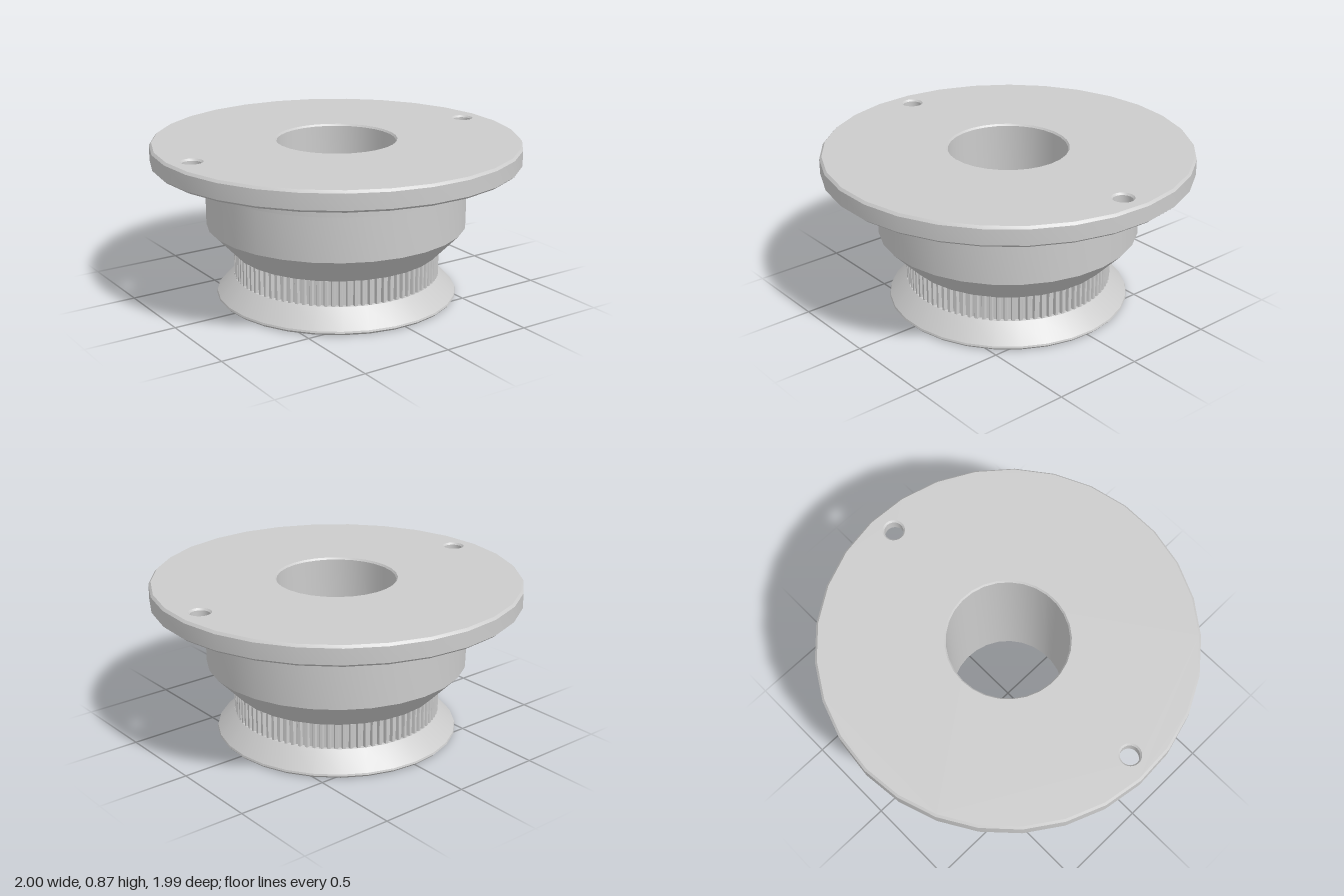
import * as THREE from 'three';
import { toCreasedNormals } from 'three/addons/utils/BufferGeometryUtils.js';

const SEG = 29;
const grey = new THREE.MeshStandardMaterial({ color: 0xcccccc });

function mesh(name, geometry) {
  const m = new THREE.Mesh(geometry, grey);
  m.name = name;
  return m;
}

// Turned surface; profile rows are [radius, y], outside going up, bores going down
function turned(name, profile, seg = SEG) {
  const pts = profile.map(([r, y]) => new THREE.Vector2(r, y));
  return mesh(name, toCreasedNormals(new THREE.LatheGeometry(pts, seg, Math.PI), 0.3));
}

// Polygon matching a turned edge, as [x, z] pairs
function circle(r, cx = 0, seg = SEG) {
  return Array.from({ length: seg }, (_, i) => {
    const t = Math.PI + (i / seg) * Math.PI * 2;
    return [cx + r * Math.sin(t), r * Math.cos(t)];
  });
}

function makeShape(outline, holes, flip) {
  const pts = (list) => list.map(([x, z]) => new THREE.Vector2(x, flip ? -z : z));
  const shape = new THREE.Shape(pts(outline));
  shape.holes = holes.map((h) => new THREE.Path(pts(h)));
  return shape;
}

// Flat horizontal face looking up or down
function face(name, outline, holes, y, up) {
  const g = new THREE.ShapeGeometry(makeShape(outline, holes, up));
  g.rotateX(up ? -Math.PI / 2 : Math.PI / 2).translate(0, y, 0);
  return mesh(name, g);
}

// Upright extrusion from y to y + height
function slab(name, outline, holes, y, height) {
  const g = new THREE.ExtrudeGeometry(makeShape(outline, holes, true), {
    depth: height, bevelEnabled: false,
  });
  g.rotateX(-Math.PI / 2).translate(0, y, 0);
  return mesh(name, g);
}

export function createModel() {
  const model = new THREE.Group();
  model.name = 'flangedPulley';
  const top = 0.87, under = 0.76, holeX = 0.87, holeSeg = 24;

  // Lower flare, belt seat, cone, drum and collar
  model.add(turned('body', [
    [0.652, 0], [0.663, 0.012], [0.66, 0.022], [0.567, 0.12], [0.53, 0.12],
    [0.53, 0.26], [0.567, 0.26], [0.71, 0.41], [0.71, 0.65],
    [0.718, 0.65], [0.718, under],
  ]));

  // Central bore, chamfered at both ends
  model.add(turned('bore', [[0.33, top], [0.322, top - 0.01], [0.322, 0.01], [0.33, 0]]));

  // Belt teeth
  const teeth = 90, pitch = (Math.PI * 2) / teeth, outline = [];
  for (let i = 0; i < teeth; i++) {
    for (const [f, r] of [[0, 0.56], [0.06, 0.565], [0.4, 0.565], [0.46, 0.56], [0.56, 0.546], [0.9, 0.546]]) {
      const t = (i + f) * pitch;
      outline.push([r * Math.sin(t), r * Math.cos(t)]);
    }
  }
  model.add(slab('beltTeeth', outline, [circle(0.52)], 0.12, 0.14));

  // Bottom plate with a shallow rectangular recess
  const recess = [[-0.165, 0.37], [0.165, 0.37], [0.165, 0.57], [-0.165, 0.57]];
  model.add(slab('bottomPlate', circle(0.652), [circle(0.33), recess], 0, 0.01));
  model.add(face('recessFloor', recess, [], 0.01, false));

  // Top flange rim and faces
  const sides = [-1, 1];
  model.add(turned('flangeRim', [
    [0.985, under], [1, under + 0.013], [1, top - 0.013], [0.988, top],
  ]));
  model.add(face('flangeTop', circle(0.988),
    [circle(0.33), ...sides.map((s) => circle(0.06, s * holeX, holeSeg))], top, true));
  model.add(face('flangeUnderside', circle(0.985),
    [circle(0.718), ...sides.map((s) => circle(0.09, s * holeX, holeSeg))], under, false));

  // Screw holes, countersunk from below
  for (const s of sides) {
    const hole = turned(s > 0 ? 'leftScrewHole' : 'rightScrewHole', [
      [0.06, top], [0.051, top - 0.01], [0.051, under + 0.045], [0.09, under],
    ], holeSeg);
    hole.position.x = s * holeX;
    model.add(hole);
  }
  return model;
}
